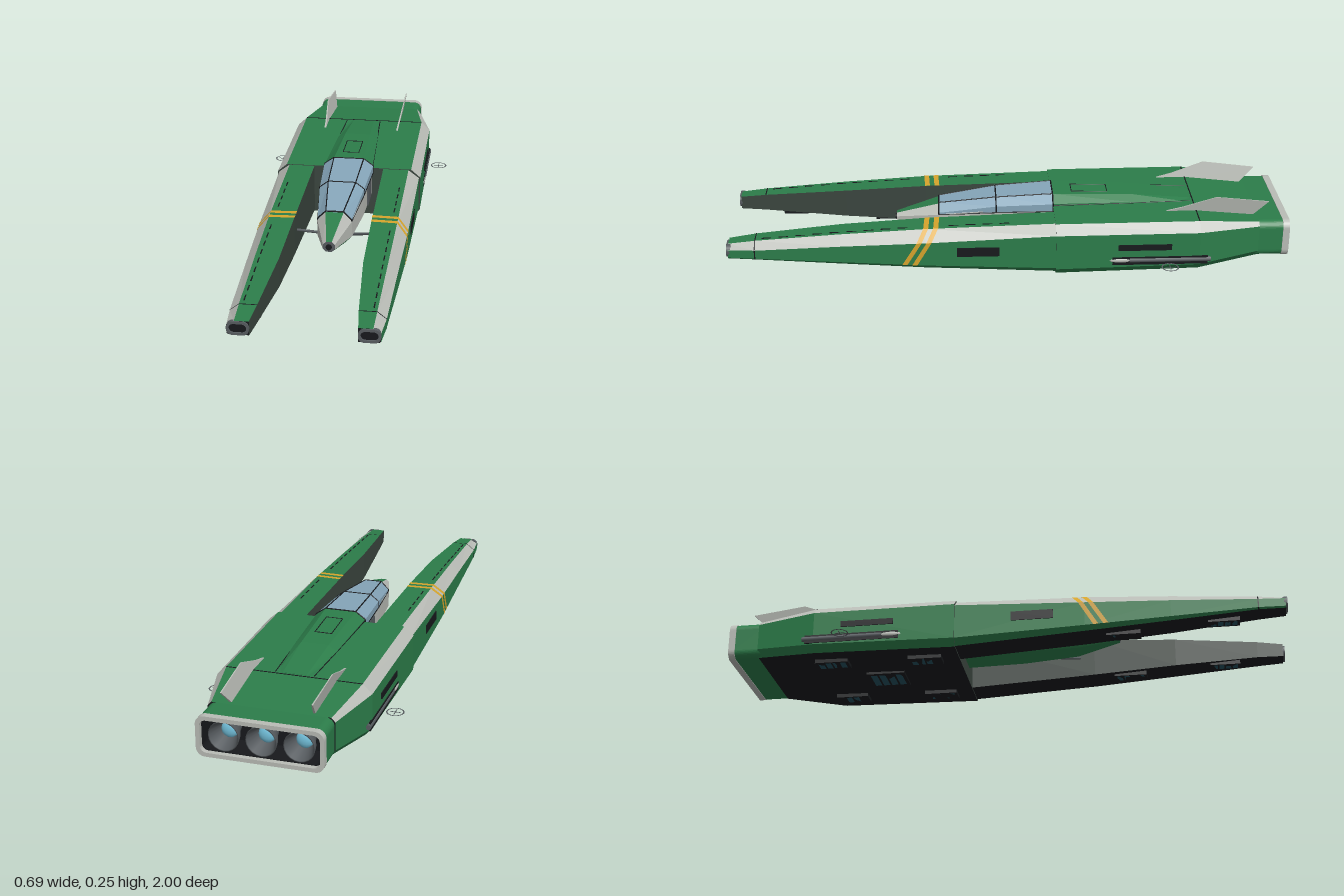
import * as THREE from 'three';

const GREEN = 0x2c7d4a, PALE = 0xb9bcb6, DARK = 0x17191c, WALL = 0x3b463f, GLASS = 0x86a6ba,
  GOLD = 0xd6a42c, STEEL = 0x575c60, TEAL = 0x24505e, GLOW = 0x74c2dd;
const V = (x, y, z) => new THREE.Vector3(x, y, z);
const mats = {};
const mat = (color) => (mats[color] ??= new THREE.MeshStandardMaterial({ color, side: THREE.DoubleSide }));

// Mirror a geometry across x and restore its winding
function mirrored(geo) {
  const g = geo.index ? geo.toNonIndexed() : geo.clone();
  g.scale(-1, 1, 1);
  for (const key of ['position', 'normal']) {
    const a = g.attributes[key].array;
    for (let i = 0; i < a.length; i += 9)
      for (let k = 0; k < 3; k++) [a[i + 3 + k], a[i + 6 + k]] = [a[i + 6 + k], a[i + 3 + k]];
  }
  return g;
}

function fromTriangles(points) {
  const g = new THREE.BufferGeometry().setFromPoints(points);
  g.computeVertexNormals();
  return g;
}

// Sections run counter-clockwise seen from the front, ordered by rising z; one colour per edge
function loft(sections, colors, capBack, capFront) {
  const tris = {}, put = (c, ...p) => (tris[c] ??= []).push(...p);
  const n = sections[0].length;
  for (let i = 0; i + 1 < sections.length; i++)
    for (let j = 0; j < n; j++) {
      const [s, t, k] = [sections[i], sections[i + 1], (j + 1) % n];
      put(colors[j], s[j], s[k], t[k], s[j], t[k], t[j]);
    }
  const first = sections[0], last = sections.at(-1);
  for (let j = 1; j + 1 < n; j++) {
    put(capBack, first[0], first[j + 1], first[j]);
    put(capFront, last[0], last[j], last[j + 1]);
  }
  return Object.entries(tris).map(([c, p]) => [Number(c), fromTriangles(p)]);
}

// Full symmetric section from its right half, listed bottom to top
const symmetric = (half, z) => [
  ...half.map(([x, y]) => V(x, y, z)), ...[...half].reverse().map(([x, y]) => V(-x, y, z))];

const box = (w, h, d, x, y, z) => new THREE.BoxGeometry(w, h, d).translate(x, y, z);

function bar(p, q, r, sides = 6) {
  const d = q.clone().sub(p);
  const turn = new THREE.Quaternion().setFromUnitVectors(V(0, 1, 0), d.clone().normalize());
  return new THREE.CylinderGeometry(r, r, d.length(), sides).applyQuaternion(turn)
    .translate(...p.clone().add(q).multiplyScalar(0.5).toArray());
}

// Rounded rectangular tube along z
function roundedFrame(w, h, r, wall, z0, z1, x, y) {
  const outline = (path, a, b, c) => {
    path.absarc(a - c, b - c, c, 0, Math.PI / 2);
    path.absarc(c - a, b - c, c, Math.PI / 2, Math.PI);
    path.absarc(c - a, c - b, c, Math.PI, Math.PI * 1.5);
    path.absarc(a - c, c - b, c, Math.PI * 1.5, Math.PI * 2);
    return path;
  };
  const shape = outline(new THREE.Shape(), w / 2, h / 2, r);
  shape.holes.push(outline(new THREE.Path(), w / 2 - wall, h / 2 - wall, r - wall * 0.6));
  return new THREE.ExtrudeGeometry(shape, { depth: z1 - z0, bevelEnabled: false, curveSegments: 5 })
    .translate(x, y, z0);
}

// Prong stations: z, inner x, outer x, top edge x, bottom y, shoulder y, top y
const STATIONS = [
  [-0.17, 0.13, 0.265, 0.225, 0.015, 0.165, 0.195], [0.3, 0.135, 0.262, 0.225, 0.042, 0.145, 0.183],
  [0.6, 0.14, 0.255, 0.222, 0.063, 0.135, 0.167], [0.9, 0.16, 0.248, 0.218, 0.085, 0.122, 0.146],
  [1, 0.17, 0.24, 0.216, 0.088, 0.122, 0.135]];
function prongSection(z, grow = 1) {
  let i = 0;
  while (i < STATIONS.length - 2 && z > STATIONS[i + 1][0]) i++;
  const [a, b] = [STATIONS[i], STATIONS[i + 1]], t = (z - a[0]) / (b[0] - a[0]);
  const [, xi, xo, xs, yb, yc, yt] = a.map((v, k) => v + (b[k] - v) * t);
  const c = (yc - yb) * 0.15;
  return [[xi, yb], [xo - c, yb], [xo, yb + c], [xo, yc], [xs, yt], [xi, yt]]
    .map(([x, y]) => V(0.2 + (x - 0.2) * grow, 0.11 + (y - 0.11) * grow, z));
}

export function createModel() {
  const model = new THREE.Group();
  const add = (name, geo, color) => {
    const mesh = new THREE.Mesh(geo, mat(color));
    mesh.name = name;
    model.add(mesh);
  };
  const pair = (name, geo, color) => {
    add(name + 'Left', geo, color);
    add(name + 'Right', mirrored(geo), color);
  };
  const addLoft = (name, parts, fn = add) => parts.forEach(([c, g], i) => fn(name + (i + 1), g, c));

  // Main hull
  const hullHalf = (w, wt, b, yc, yt) => [[w - 0.022, b], [w, b + 0.025], [w, yc], [wt, yt]];
  addLoft('hull', loft([
    symmetric(hullHalf(0.213, 0.2, 0.04, 0.162, 0.176), -0.89),
    symmetric(hullHalf(0.268, 0.235, 0.02, 0.168, 0.199), -0.67),
    symmetric(hullHalf(0.27, 0.235, 0.011, 0.167, 0.197), -0.16)],
  [GREEN, GREEN, PALE, GREEN, PALE, GREEN, GREEN, DARK], DARK, WALL));
  add('hullSeam', box(0.47, 0.002, 0.004, 0, 0.199, -0.67), DARK);

  // Raised spine behind the cockpit, with hatch
  const spineHalf = (w, top) => [[w, 0.185], [w, 0.19 + (top - 0.19) * 0.4], [w * 0.62, top]];
  addLoft('spine', loft([
    symmetric(spineHalf(0.066, 0.2), -0.66), symmetric(spineHalf(0.078, 0.221), -0.45),
    symmetric(spineHalf(0.09, 0.231), -0.16)], Array(6).fill(GREEN), GREEN, GREEN));
  for (const x of [-0.03, 0.03]) add('hatchEdge', bar(V(x, 0.229, -0.23), V(x, 0.225, -0.36), 0.0015), DARK);
  for (const [y, z] of [[0.229, -0.23], [0.225, -0.36]])
    add('hatchEdge', bar(V(-0.03, y, z), V(0.03, y, z), 0.0015), DARK);
  pair('spineSeam', bar(V(0.09, 0.201, -0.16), V(0.067, 0.198, -0.66), 0.002), DARK);

  // Rear engine shroud, rim and three engines
  add('engineShroud', roundedFrame(0.42, 0.136, 0.028, 0.012, -0.98, -0.88, 0, 0.108), GREEN);
  add('engineShroudLining', roundedFrame(0.398, 0.114, 0.022, 0.004, -0.982, -0.885, 0, 0.108), DARK);
  add('engineRim', roundedFrame(0.424, 0.14, 0.03, 0.014, -1, -0.976, 0, 0.108), PALE);
  for (const x of [-0.125, 0, 0.125]) {
    const bell = [[0.028, 0], [0.034, 0.03], [0.046, 0.06], [0.052, 0.09], [0.048, 0.09], [0.03, 0.03]];
    add('engineBell', new THREE.LatheGeometry(bell.map(([r, y]) => new THREE.Vector2(r, y)), 20)
      .rotateX(-Math.PI / 2).translate(x, 0.108, -0.892), STEEL);
    add('engineGlow', new THREE.SphereGeometry(0.029, 16, 8).scale(1, 1, 0.5).translate(x, 0.108, -0.925), GLOW);
  }

  // Tail fins, leaning outward
  const finShape = new THREE.Shape([[0.55, 0.195], [0.62, 0.213], [0.74, 0.254], [0.93, 0.231], [0.87, 0.17], [0.7, 0.19]]
    .map(([x, y]) => new THREE.Vector2(x, y)));
  const fin = new THREE.ExtrudeGeometry(finShape, { depth: 0.007, bevelEnabled: false }).rotateY(Math.PI / 2);
  const fp = fin.attributes.position;
  for (let i = 0; i < fp.count; i++)
    fp.setX(i, fp.getX(i) * (1 - (fp.getY(i) - 0.195) * 9) + 0.14 + (fp.getY(i) - 0.195) * 0.24);
  fin.computeVertexNormals();
  pair('tailFin', fin, PALE);

  // Forward prongs with intake mouth
  addLoft('prong', loft(STATIONS.map(([z]) => prongSection(Math.min(z, 0.994))),
    [DARK, GREEN, GREEN, PALE, GREEN, WALL], DARK, DARK), pair);
  pair('prongMouth', roundedFrame(0.072, 0.046, 0.02, 0.008, 0.985, 1, 0.205, 0.112), STEEL);
  const ring = (z0, z1, color, name, from, lean) => {
    const edge = (z) => lean.map((d, k) => prongSection(z + d, 1.015)[k + from]);
    const [p, q] = [edge(z0), edge(z1)], tri = [];
    for (let j = 0; j + 1 < p.length; j++) tri.push(p[j], p[j + 1], q[j + 1], p[j], q[j + 1], q[j]);
    pair(name, fromTriangles(tri), color);
  };
  for (const z of [0.25, 0.285]) ring(z, z + 0.018, GOLD, 'goldStripe', 2, [0.08, 0.028, 0.004, 0]);
  ring(0.898, 0.902, DARK, 'prongSeam', 1, [0, 0, 0, 0, 0]);
  for (let z = 0.02; z < 0.88; z += 0.06) {
    const y = prongSection(z)[5].y;
    if (Math.abs(z - 0.28) > 0.04) pair('topDash', box(0.004, 0.003, 0.034, 0.206, y, z), DARK);
  }
  pair('prongSlot', box(0.01, 0.034, 0.15, 0.261, 0.108, 0.115), DARK);

  // Cockpit pod tapering to a blunt nose
  const podHalf = [
    [-0.17, [[0.06, 0.065], [0.088, 0.092], [0.088, 0.185], [0.05, 0.2]]],
    [0.05, [[0.055, 0.067], [0.08, 0.095], [0.08, 0.18], [0.045, 0.195]]],
    [0.25, [[0.038, 0.075], [0.062, 0.1], [0.062, 0.158], [0.032, 0.19]]],
    [0.405, [[0.01, 0.108], [0.021, 0.118], [0.021, 0.135], [0.01, 0.145]]]];
  addLoft('cockpitPod', loft(podHalf.map(([z, h]) => symmetric(h, z)),
    [GREEN, PALE, PALE, GREEN, PALE, PALE, GREEN, GREEN], DARK, STEEL));
  add('noseTip', new THREE.CylinderGeometry(0.01, 0.012, 0.012, 8).rotateX(Math.PI / 2).translate(0, 0.126, 0.406), DARK);
  pair('podPanel', box(0.006, 0.07, 0.1, 0.086, 0.135, -0.08), STEEL);

  // Glass canopy and its frame
  const canopy = [[-0.16, 0.092, 0.056, 0.178, 0.206, 0.232], [0.045, 0.081, 0.05, 0.172, 0.196, 0.22],
    [0.252, 0.06, 0.031, 0.158, 0.165, 0.193]]
    .map(([z, w, wt, y0, y1, y2]) => symmetric([[w, y0], [w, y1], [wt, y2]], z));
  addLoft('canopy', loft([...canopy].sort((a, b) => a[0].z - b[0].z), Array(6).fill(GLASS), DARK, GLASS));
  canopy.forEach((s, i) => {
    for (let j = 0; j < 5; j++) add('canopyHoop', bar(s[j], s[j + 1], 0.0025), DARK);
    if (i < 2) for (const j of [0, 2]) pair('canopyRail', bar(s[j], canopy[i + 1][j], 0.0022), DARK);
  });

  // Struts between pod and prongs
  pair('strut', bar(V(0.05, 0.078, 0.185), V(0.137, 0.112, 0.245), 0.005, 8), STEEL);

  // Side slots and slung missiles with flat ring guards
  pair('sideSlot', box(0.008, 0.022, 0.19, 0.268, 0.116, -0.475), DARK);
  pair('missileBay', box(0.006, 0.03, 0.34, 0.268, 0.064, -0.53), DARK);
  pair('missileBody', bar(V(0.266, 0.066, -0.42), V(0.266, 0.066, -0.71), 0.009, 10), STEEL);
  pair('missileNose', new THREE.SphereGeometry(0.01, 10, 8).scale(0.8, 1, 4.5).translate(0.266, 0.066, -0.39), PALE);
  const guard = [0.315, 0.06, -0.56];
  pair('ringGuard', new THREE.RingGeometry(0.026, 0.031, 28).rotateX(-Math.PI / 2).translate(...guard), STEEL);
  pair('ringCross', box(0.036, 0.001, 0.003, ...guard), STEEL);
  pair('ringCross', box(0.003, 0.001, 0.036, ...guard), STEEL);

  // Underside lift pads with grilles
  const pad = (x, y, z, w, d, place) => {
    place('liftPad', box(w, 0.022, d, x, y + 0.011, z), DARK);
    for (let i = 0; i < 4; i++)
      place('liftGrille', box(w * 0.76, 0.002, d * 0.17, x, y + 0.001, z + (i - 1.5) * d * 0.22), TEAL);
  };
  pad(0.16, 0, -0.28, 0.06, 0.12, pair);
  pad(0.16, 0.006, -0.62, 0.06, 0.12, pair);
  pad(0.18, 0.04, 0.43, 0.05, 0.12, pair);
  pad(0.185, 0.065, 0.78, 0.045, 0.11, pair);
  pad(0, 0.008, -0.45, 0.12, 0.14, add);
  return model;
}
